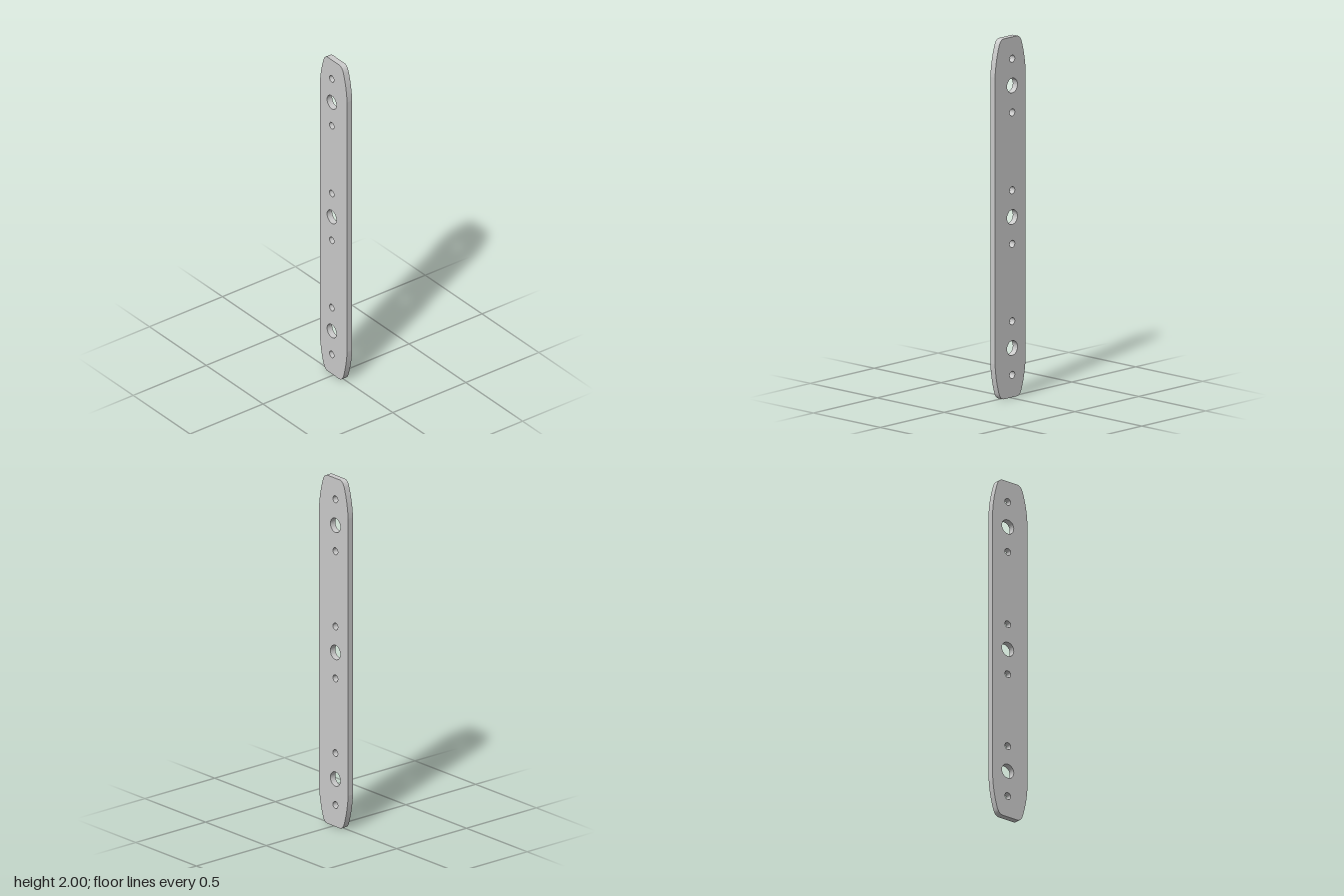
import * as THREE from 'three';

const HALF_WIDTH = 0.12;
const THICKNESS = 0.035;
const HOLE_OFFSET = 0.015; // the row of holes sits slightly off centre

// Outline of the bar: straight sides, bowed tapers, rounded corners
function barOutline() {
  const s = new THREE.Shape();
  const h = HALF_WIDTH;
  s.moveTo(h, 0.205);
  s.lineTo(h, 1.795);
  s.quadraticCurveTo(0.115, 1.88, 0.09, 1.96);
  s.quadraticCurveTo(0.078, 2, 0.05, 2);
  s.lineTo(-0.05, 2);
  s.quadraticCurveTo(-0.078, 2, -0.09, 1.96);
  s.quadraticCurveTo(-0.115, 1.88, -h, 1.795);
  s.lineTo(-h, 0.205);
  s.quadraticCurveTo(-0.115, 0.12, -0.09, 0.04);
  s.quadraticCurveTo(-0.078, 0, -0.05, 0);
  s.lineTo(0.05, 0);
  s.quadraticCurveTo(0.078, 0, 0.09, 0.04);
  s.quadraticCurveTo(0.115, 0.12, h, 0.205);
  return s;
}

export function createModel() {
  const group = new THREE.Group();
  group.name = 'drilledBar';

  const shape = barOutline();
  const drill = (y, r) => {
    const hole = new THREE.Path();
    hole.absarc(HOLE_OFFSET, y, r, 0, Math.PI * 2, true);
    shape.holes.push(hole);
  };

  // Three groups: a large hole with a small one above and below
  for (const y of [0.273, 1, 1.73]) {
    drill(y, 0.041);
    drill(y - 0.149, 0.02);
    drill(y + 0.149, 0.02);
  }

  const geometry = new THREE.ExtrudeGeometry(shape, {
    depth: THICKNESS, bevelEnabled: false, curveSegments: 16,
  });
  geometry.translate(0, 0, -THICKNESS / 2);
  geometry.rotateY(Math.PI / 2); // broad faces look along x

  const plate = new THREE.Mesh(geometry, new THREE.MeshStandardMaterial({ color: 0xcccccc }));
  plate.name = 'plate';
  group.add(plate);
  return group;
}
